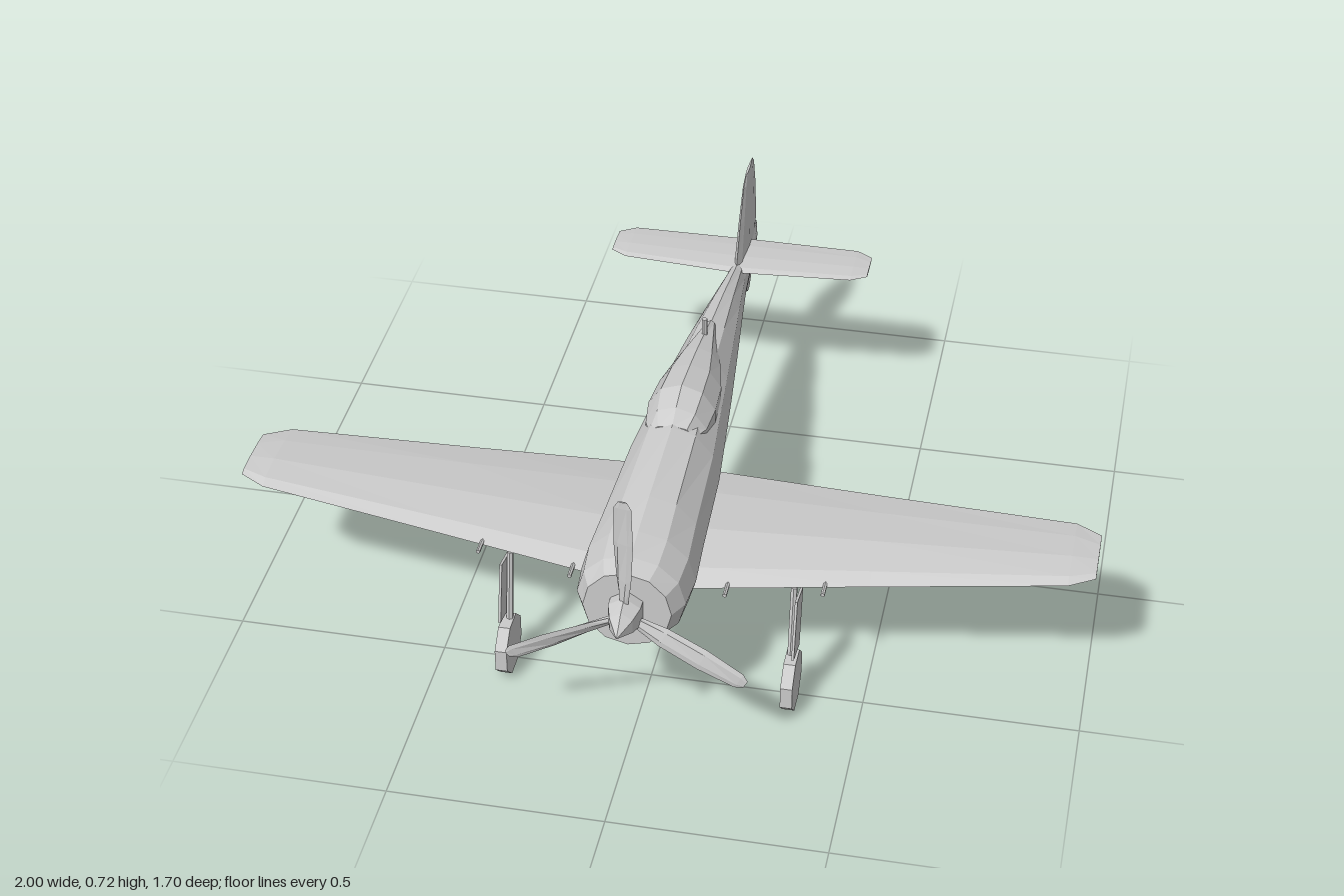
import * as THREE from 'three';

const material = new THREE.MeshStandardMaterial({ color: 0xcccccc, flatShading: true });

function add(parent, name, geometry) {
  const mesh = new THREE.Mesh(geometry, material);
  mesh.name = name;
  parent.add(mesh);
  return mesh;
}

// Closed skin over rings of points; rings run counter-clockwise seen from the first ring's end
function loft(rings) {
  const n = rings[0].length, last = rings.length - 1;
  const pos = rings.flat(2), index = [];
  for (let i = 0; i < last; i++) {
    for (let j = 0; j < n; j++) {
      const a = i * n + j, b = i * n + (j + 1) % n;
      index.push(a, a + n, b, b, a + n, b + n);
    }
  }
  for (let j = 1; j < n - 1; j++) {
    index.push(0, j, j + 1, last * n, last * n + j + 1, last * n + j);
  }
  const g = new THREE.BufferGeometry();
  g.setAttribute('position', new THREE.Float32BufferAttribute(pos, 3));
  g.setIndex(index);
  const flat = g.toNonIndexed();
  flat.computeVertexNormals();
  return flat;
}

// Body along z from sections [z, halfWidth, bottom, top], nose first
function body(sections, sides, phase = 0) {
  return loft(sections.map(([z, w, lo, hi]) => Array.from({ length: sides }, (_, j) => {
    const a = phase + j / sides * Math.PI * 2;
    return [w * Math.cos(a), (lo + hi) / 2 + (hi - lo) / 2 * Math.sin(a), z];
  })));
}

// Aerofoil surface along x from stations [x, y, trailingZ, leadingZ, halfThickness], outermost +x first
const FOIL = [[1, 0], [0.75, 0.6], [0.4, 1], [0.1, 0.72], [0, 0], [0.1, -0.72], [0.4, -1], [0.75, -0.6]];
function foil(stations) {
  return loft(stations.map(([x, y, te, le, t]) =>
    FOIL.map(([c, h]) => [x, y + h * t, le + (te - le) * c])));
}
const mirrored = (half) => foil([...half, ...half.slice(0, -1).reverse().map(([x, ...r]) => [-x, ...r])]);

// Cylinder between two points
function rod(parent, name, from, to, r, sides = 6) {
  const a = new THREE.Vector3(...from), b = new THREE.Vector3(...to);
  const mesh = add(parent, name, new THREE.CylinderGeometry(r, r, a.distanceTo(b), sides));
  mesh.position.copy(a).add(b).multiplyScalar(0.5);
  mesh.quaternion.setFromUnitVectors(new THREE.Vector3(0, 1, 0), b.sub(a).normalize());
  return mesh;
}

export function createModel() {
  const plane = new THREE.Group();
  plane.name = 'airplane';

  // Fuselage and engine cowling
  add(plane, 'fuselage', body([
    [0.745, 0.1, 0.30, 0.50], [0.70, 0.123, 0.285, 0.513], [0.62, 0.13, 0.28, 0.522],
    [0.50, 0.123, 0.275, 0.53], [0.25, 0.112, 0.265, 0.54], [0.07, 0.095, 0.268, 0.54],
    [-0.06, 0.083, 0.284, 0.535], [-0.224, 0.066, 0.314, 0.513], [-0.40, 0.046, 0.328, 0.488],
    [-0.56, 0.028, 0.337, 0.458], [-0.68, 0.02, 0.345, 0.447], [-0.805, 0.012, 0.37, 0.442],
    [-0.85, 0.002, 0.41, 0.42],
  ], 12));

  // Canopy fairing into the spine
  add(plane, 'canopy', body([
    [0.243, 0.058, 0.47, 0.538], [0.20, 0.076, 0.41, 0.56], [0.133, 0.084, 0.40, 0.577],
    [0.03, 0.078, 0.40, 0.565], [-0.06, 0.058, 0.42, 0.552], [-0.224, 0.015, 0.46, 0.521],
  ], 10, Math.PI / 10));

  // Wing, one piece with dihedral
  add(plane, 'wing', mirrored([
    [1, 0.368, 0.24, 0.40, 0.007], [0.94, 0.363, 0.20, 0.43, 0.014],
    [0.5, 0.326, 0.137, 0.475, 0.026], [0.12, 0.295, 0.08, 0.517, 0.036],
    [0, 0.285, 0.06, 0.525, 0.037],
  ]));

  // Tail surfaces
  add(plane, 'tailplane', mirrored([
    [0.33, 0.445, -0.69, -0.60, 0.003], [0.29, 0.445, -0.715, -0.577, 0.006],
    [0, 0.445, -0.718, -0.555, 0.009],
  ]));
  const fin = foil([
    [0.652, 0, -0.78, -0.69, 0.003], [0.63, 0, -0.805, -0.66, 0.006],
    [0.55, 0, -0.833, -0.615, 0.01], [0.435, 0, -0.85, -0.56, 0.014],
  ]);
  add(plane, 'fin', fin.rotateZ(Math.PI / 2));
  const tailWheel = add(plane, 'tailWheel',
    new THREE.CylinderGeometry(0.034, 0.034, 0.022, 8).rotateY(Math.PI / 8).rotateZ(Math.PI / 2));
  tailWheel.position.set(0, 0.342, -0.69);
  rod(plane, 'antennaMast', [0, 0.5, -0.145], [0, 0.577, -0.145], 0.007);

  // Drop tank under the belly
  add(plane, 'dropTank', body([
    [0.52, 0.004, 0.20, 0.208], [0.46, 0.035, 0.163, 0.243], [0.34, 0.043, 0.153, 0.252],
    [0.19, 0.032, 0.167, 0.24], [0.14, 0.003, 0.20, 0.206],
  ], 6, Math.PI / 6));

  // Propeller: spinner and three twisted blades
  const propeller = new THREE.Group();
  propeller.name = 'propeller';
  propeller.position.set(0, 0.405, 0.77);
  plane.add(propeller);
  add(propeller, 'spinner', body([
    [0.08, 0.002, -0.002, 0.002], [0.035, 0.03, -0.034, 0.034],
    [0, 0.042, -0.048, 0.048], [-0.03, 0.042, -0.048, 0.048],
  ], 6, Math.PI / 6));
  const bladeStations = [ // height, half width, half thickness, twist
    [0.312, 0.01, 0.002, 0.1], [0.295, 0.02, 0.003, 0.15], [0.2, 0.025, 0.005, 0.35],
    [0.1, 0.022, 0.007, 0.55], [0.02, 0.011, 0.009, 0.7],
  ];
  for (let k = 0; k < 3; k++) {
    const blade = add(propeller, 'blade', loft(bladeStations.map(([y, w, t, twist]) =>
      Array.from({ length: 6 }, (_, j) => {
        const a = j / 6 * Math.PI * 2, z = w * Math.cos(a), x = t * Math.sin(a);
        // ring starts broadside across x, then pitches by the twist
        const px = z * Math.cos(twist) + x * Math.sin(twist);
        const pz = z * Math.sin(twist) - x * Math.cos(twist);
        return [px, y, pz];
      }))));
    blade.rotation.z = k * Math.PI * 2 / 3;
  }

  // Landing gear and guns on each side
  for (const s of [1, -1]) {
    const gear = new THREE.Group();
    gear.name = s > 0 ? 'leftLandingGear' : 'rightLandingGear';
    plane.add(gear);
    const wheel = add(gear, 'wheel',
      new THREE.CylinderGeometry(0.074, 0.074, 0.028, 8).rotateY(Math.PI / 8).rotateZ(Math.PI / 2));
    wheel.position.set(s * 0.335, 0.069, 0.53);
    rod(gear, 'strut', [s * 0.331, 0.31, 0.49], [s * 0.331, 0.07, 0.53], 0.008);
    const door = add(gear, 'door', new THREE.BoxGeometry(0.006, 0.148, 0.083));
    door.position.set(s * 0.343, 0.222, 0.51);
    door.rotation.x = -0.23;
    rod(plane, 'innerGun', [s * 0.18, 0.303, 0.46], [s * 0.18, 0.303, 0.542], 0.005);
    rod(plane, 'outerGun', [s * 0.40, 0.32, 0.44], [s * 0.40, 0.32, 0.517], 0.005);
  }
  return plane;
}
